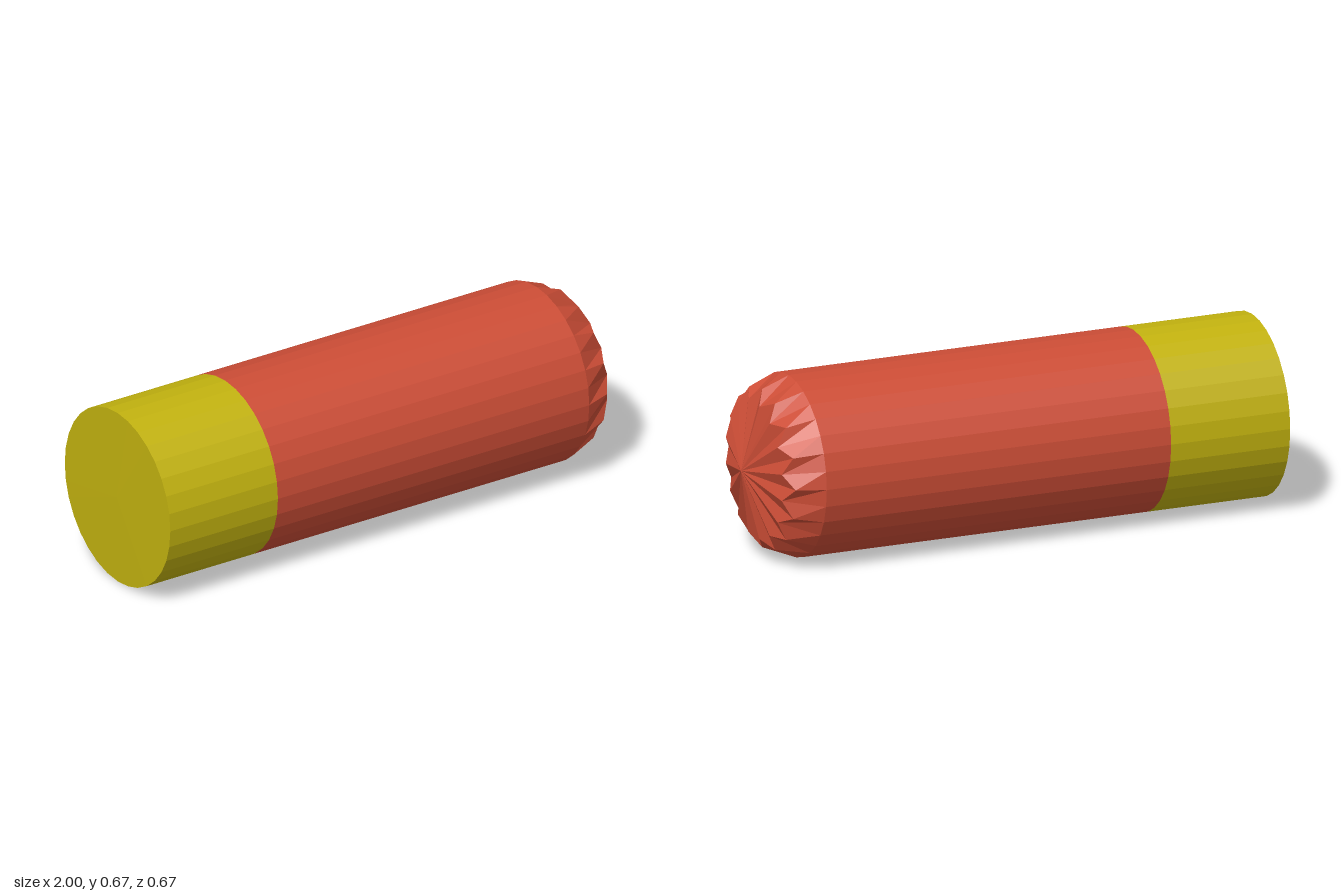
import * as THREE from 'three';

const SIDES = 32;
const RADIUS = 0.335;

// Faceted solid turned around the x axis from [radius, x] pairs
function turned(name, profile, color, adjust) {
  const points = profile.map(([r, x]) => new THREE.Vector2(r, x));
  let geometry = new THREE.LatheGeometry(points, SIDES);
  if (adjust) adjust(geometry.attributes.position, points.length);
  geometry = geometry.toNonIndexed();
  geometry.computeVertexNormals();
  geometry.rotateZ(-Math.PI / 2);
  const mesh = new THREE.Mesh(geometry, new THREE.MeshStandardMaterial({ color, flatShading: true }));
  mesh.name = name;
  mesh.position.y = RADIUS;
  return mesh;
}

// Pull every second corner of the shoulder ring inward and forward to form the 16-point star
function crimp(position, rows) {
  for (let i = 1; i < SIDES; i += 2) {
    const angle = (i / SIDES) * Math.PI * 2;
    position.setXYZ(i * rows + 2, 0.252 * Math.sin(angle), 0.95, 0.252 * Math.cos(angle));
  }
}

export function createModel() {
  const group = new THREE.Group();
  group.name = 'cartridge';

  // Yellow base with its closed end
  group.add(turned('base', [[0, -1], [RADIUS, -0.997], [RADIUS, -0.532]], 0xc2b20f));

  // Red tube, tapering into a crimped star and shallow cone
  group.add(turned('crimpedTube',
    [[RADIUS, -0.532], [RADIUS, 0.813], [0.296, 0.917], [0, 1]], 0xcc4d36, crimp));

  return group;
}
